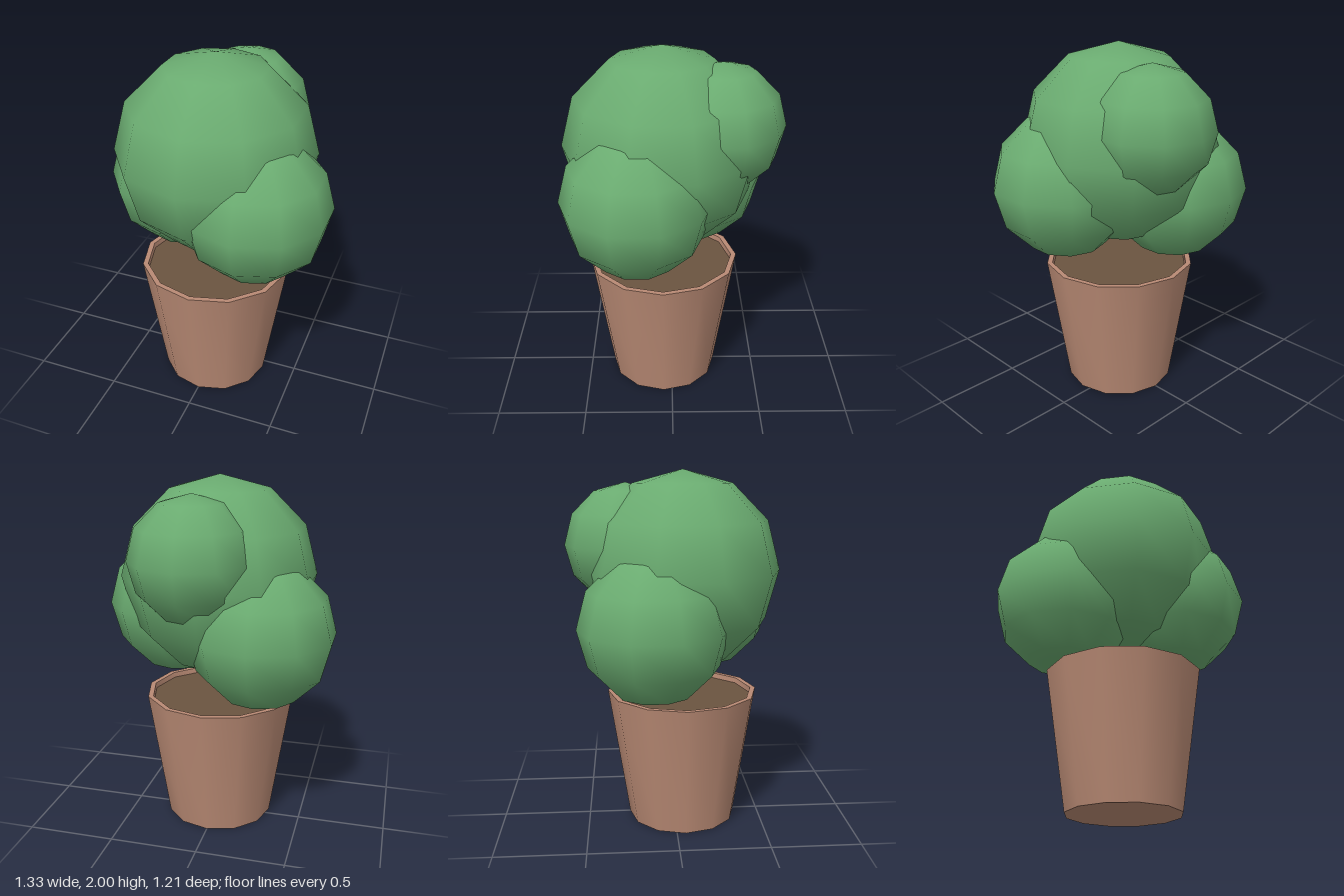
import * as THREE from 'three';
import { toCreasedNormals } from 'three/addons/utils/BufferGeometryUtils.js';

const SIDES = 12;
const POT_Z = 0.05;

export function createModel() {
  const model = new THREE.Group();
  model.name = 'pottedBush';

  const clay = new THREE.MeshStandardMaterial({ color: 0xb98a74 });
  const earth = new THREE.MeshStandardMaterial({ color: 0x6b5440 });
  const leaf = new THREE.MeshStandardMaterial({ color: 0x6aab70 });

  const add = (name, geometry, material, x, y, z) => {
    const mesh = new THREE.Mesh(geometry, material);
    mesh.name = name;
    mesh.position.set(x, y, z);
    model.add(mesh);
    return mesh;
  };

  // Tapered pot: closed base, outer wall, flat rim and short inner wall
  const profile = [[0, 0], [0.31, 0], [0.428, 0.76], [0.398, 0.76], [0.393, 0.72]]
    .map(([r, y]) => new THREE.Vector2(r, y));
  const potGeometry = toCreasedNormals(new THREE.LatheGeometry(profile, SIDES), 0.7);
  add('pot', potGeometry, clay, 0, 0, POT_Z);

  // Soil disc just below the rim, its corners lined up with the pot's
  const soil = new THREE.CircleGeometry(0.394, SIDES).rotateX(-Math.PI / 2);
  add('soil', soil, earth, 0, 0.73, POT_Z);

  // Overlapping balls of foliage: name, radius, centre
  const balls = [
    ['mainFoliage', 0.55, 0, 1.452, 0.05],
    ['leftFoliage', 0.412, 0.275, 1.245, 0.188],
    ['rightFoliage', 0.412, -0.275, 1.177, -0.123],
    ['backFoliage', 0.342, 0.07, 1.59, -0.263],
  ];
  for (const [name, radius, x, y, z] of balls) {
    // Turned so that corners point to the front and back
    const ball = new THREE.SphereGeometry(radius, 10, 6).rotateY(Math.PI / 2);
    add(name, ball, leaf, x, y, z);
  }

  return model;
}
